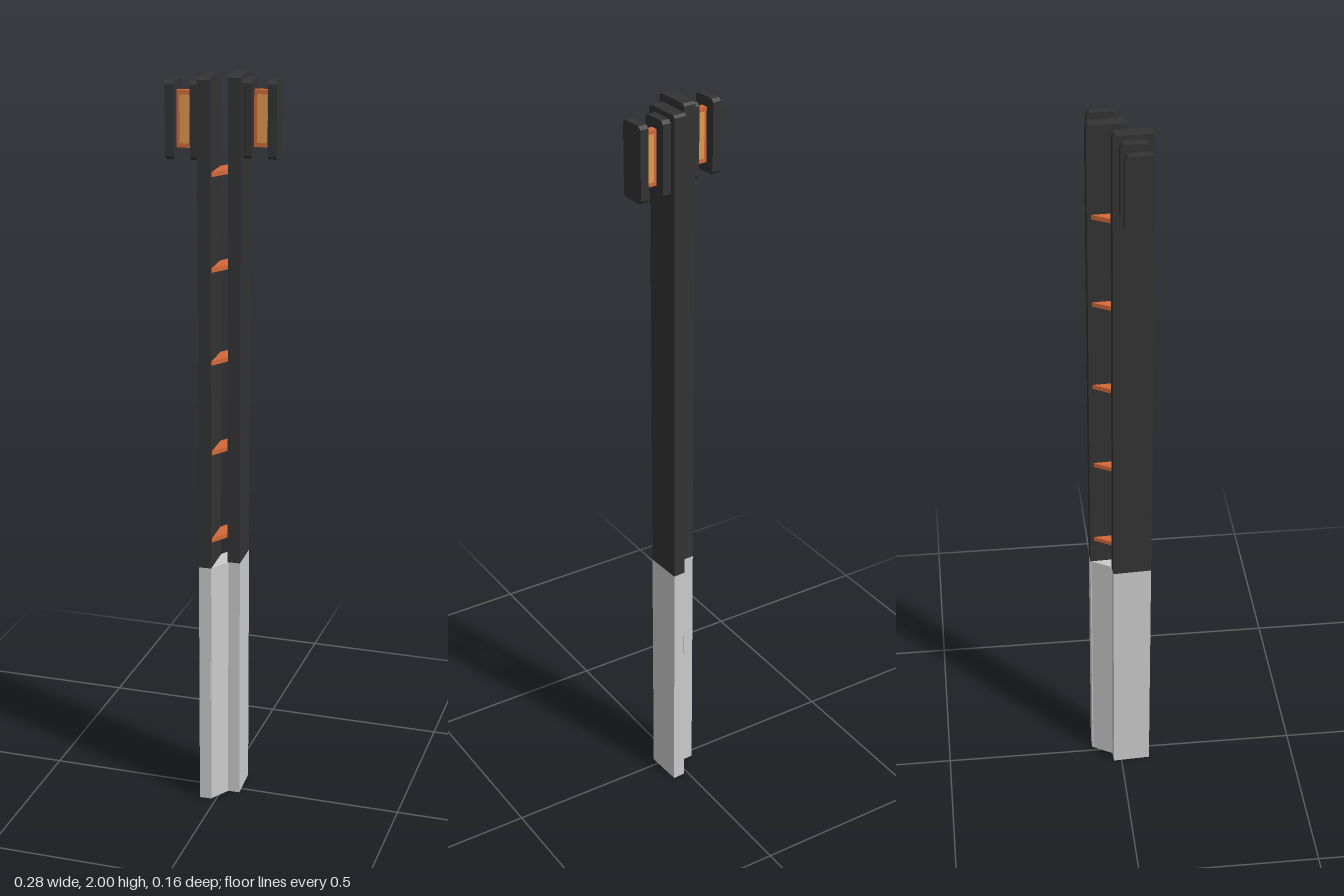
import * as THREE from 'three';

const material = (color) => new THREE.MeshStandardMaterial({ color, flatShading: true });
const grey = material(0xcccccc);
const dark = material(0x333333);
const orange = material(0xd2693a);
const amber = material(0xe09a50);

function add(parent, name, geometry, mat, x = 0, y = 0, z = 0) {
  const mesh = new THREE.Mesh(geometry, mat);
  mesh.name = name;
  mesh.position.set(x, y, z);
  parent.add(mesh);
  return mesh;
}

// Upright plate, thin along x, with cut corners (separate cut for top and bottom)
function plate(width, height, depth, top, bottom) {
  const d = depth / 2, h = height / 2;
  const shape = new THREE.Shape([
    [-d + bottom, -h], [d - bottom, -h], [d, -h + bottom], [d, h - top],
    [d - top, h], [-d + top, h], [-d, h - top], [-d, -h + bottom],
  ].map(([x, y]) => new THREE.Vector2(x, y)));
  return new THREE.ExtrudeGeometry(shape, { depth: width, bevelEnabled: false })
    .translate(0, 0, -width / 2).rotateY(Math.PI / 2);
}

// Skewed slab spanning the gap between the two columns
function slab(height, inset) {
  const shape = new THREE.Shape([
    [0.014, -0.08 + inset], [0.019, 0.024 - inset],
    [-0.014, 0.08 - inset], [-0.019, -0.024 + inset],
  ].map(([x, z]) => new THREE.Vector2(x, -z)));
  return new THREE.ExtrudeGeometry(shape, { depth: height, bevelEnabled: false }).rotateX(-Math.PI / 2);
}

// One column with its base and the spool-shaped lamp at the top
function createHalf(name) {
  const half = new THREE.Group();
  half.name = name;
  const column = new THREE.Group();
  column.name = 'columnAssembly';
  column.position.set(0.0315, 0, -0.0285);
  column.rotation.y = 0.049;
  half.add(column);

  add(column, 'base', new THREE.BoxGeometry(0.034, 0.695, 0.104), grey, 0, 0.3475);
  add(column, 'column', plate(0.034, 1.305, 0.104, 0.006, 0), dark, 0, 1.3475);

  const lampY = 1.888;
  add(column, 'lampMount', plate(0.024, 0.197, 0.073, 0.008, 0.008), dark, 0.028, lampY);
  add(column, 'lampCore', new THREE.BoxGeometry(0.044, 0.144, 0.019), orange, 0.061, lampY);
  add(column, 'lampPanel', new THREE.BoxGeometry(0.026, 0.122, 0.021), amber, 0.061, lampY);
  add(column, 'lampCover', plate(0.023, 0.197, 0.073, 0.008, 0.008), dark, 0.093, lampY);
  return half;
}

export function createModel() {
  const model = new THREE.Group();
  model.name = 'twinColumnTower';

  // The two halves are the same part turned half a circle
  const left = createHalf('leftHalf');
  const right = createHalf('rightHalf');
  right.rotation.y = Math.PI;
  model.add(left, right);

  // Solid web joining the bases
  add(model, 'baseWeb', slab(0.695, 0), grey);

  // Rungs between the columns
  for (let i = 0; i < 5; i++) {
    add(model, 'rung' + (i + 1), slab(0.012, 0.008), orange, 0, 0.766 + i * 0.2463, 0);
  }
  return model;
}
